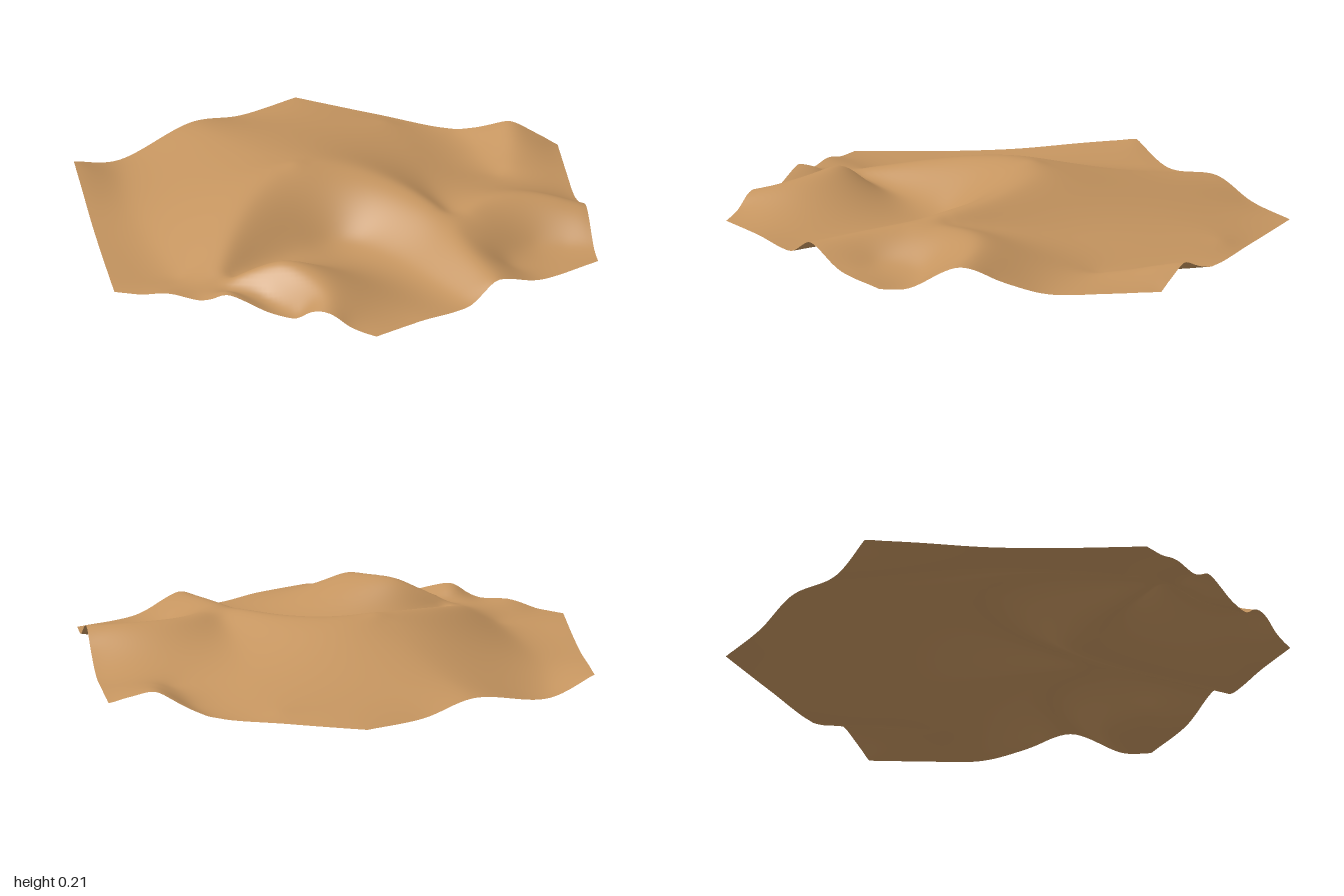
import * as THREE from 'three';

// Ridge, trough and rim lines of the dune field, as [x, height, z] points
const lines = {
  mainNorthCrest: [[-.15, .21, .07], [-.1, .2, -.04], [.05, .185, -.12], [.25, .165, -.17], [.45, .145, -.16], [.6, .125, -.1], [.866, .1, -.04]],
  mainSouthCrest: [[-.15, .21, .07], [-.12, .195, .2], [-.05, .168, .35], [.05, .13, .5], [.15, .095, .62], [.22, .075, .69]],
  mainToe: [[.866, .04, .07], [.6, .043, .06], [.35, .047, .06], [.2, .05, .09], [.15, .05, .16], [.16, .055, .3], [.19, .06, .48], [.22, .072, .63]],
  westRidge: [[-.866, .065, -.03], [-.6, .105, 0], [-.35, .16, .05], [-.15, .21, .07]],
  southTrough: [[-.866, .015, .3], [-.6, .03, .48], [-.35, .034, .6], [-.1, .035, .7], [.05, .037, .75]],
  northTrough: [[-.5, .03, -.62], [-.25, .045, -.54], [0, .075, -.4], [.2, .108, -.29], [.38, .137, -.21]],
  eastCrest: [[.24, .08, .68], [.3, .125, .6], [.38, .16, .54], [.52, .15, .52], [.65, .125, .55], [.7, .105, .596]],
  eastToe: [[.28, .068, .7], [.34, .073, .67], [.42, .066, .64], [.53, .06, .64], [.6, .065, .635]],
  southSpur: [[.24, .075, .69], [.31, .09, .74], [.37, .105, .786]],
  cornerCrest: [[.62, .115, -.642], [.5, .135, -.56], [.42, .145, -.45], [.4, .145, -.36], [.44, .142, -.26], [.55, .125, -.17]],
  cornerToe: [[.78, .04, -.55], [.68, .04, -.48], [.62, .045, -.4], [.63, .05, -.31], [.7, .05, -.23], [.866, .045, -.24]],
  smallCrest: [[-.16, .075, -.908], [-.1, .068, -.87], [0, .045, -.79], [.09, .027, -.71]],
  smallToe: [[-.33, .005, -.8], [-.2, .012, -.78], [-.08, .015, -.72], [.06, .018, -.68]],
  rimSouthWest: [[-.866, .07, .5], [-.7, .058, .596], [-.5, .04, .711], [-.3, .035, .827], [0, .04, 1]],
  rimSouthEast: [[0, .04, 1], [.1, .05, .942], [.17, .07, .902], [.3, .068, .827], [.37, .105, .786], [.55, .06, .682], [.7, .105, .596], [.79, .06, .544], [.866, .045, .5]],
  rimEast: [[.866, .045, .5], [.866, .045, .3], [.866, .04, .07], [.866, .1, -.04], [.866, .045, -.24], [.866, .04, -.5]],
  rimNorthEast: [[.866, .04, -.5], [.78, .04, -.55], [.62, .115, -.642], [.48, .055, -.723], [.35, .012, -.798], [.17, .01, -.902], [0, .015, -1]],
  rimNorthWest: [[0, .015, -1], [-.08, .05, -.954], [-.16, .075, -.908], [-.25, .035, -.856], [-.35, .005, -.798], [-.6, .01, -.654], [-.866, .02, -.5]],
  rimWest: [[-.866, .02, -.5], [-.866, .025, -.25], [-.866, .065, -.03], [-.866, .015, .3], [-.866, .07, .5]],
};

const kernel = (dx, dz) => Math.sqrt(dx * dx + dz * dz + 0.0006);

// Sample every line, skipping samples that fall on earlier ones
function samplePoints() {
  const points = [];
  for (const line of Object.values(lines)) {
    const curve = new THREE.CatmullRomCurve3(line.map((p) => new THREE.Vector3(...p)), false, 'centripetal');
    const count = Math.ceil(curve.getLength() / 0.055);
    for (const p of curve.getSpacedPoints(count)) {
      if (points.every((q) => Math.hypot(p.x - q.x, p.z - q.z) > 0.022)) points.push(p);
    }
  }
  return points;
}

// Smooth height function through all the samples (Gaussian elimination)
function makeHeight() {
  const points = samplePoints();
  const n = points.length;
  const rows = points.map((p) => [...points.map((q) => kernel(p.x - q.x, p.z - q.z)), p.y]);
  for (let c = 0; c < n; c++) {
    let best = c;
    for (let r = c + 1; r < n; r++) if (Math.abs(rows[r][c]) > Math.abs(rows[best][c])) best = r;
    [rows[c], rows[best]] = [rows[best], rows[c]];
    for (let r = c + 1; r < n; r++) {
      const f = rows[r][c] / rows[c][c];
      for (let k = c; k <= n; k++) rows[r][k] -= f * rows[c][k];
    }
  }
  const weights = new Array(n).fill(0);
  for (let r = n - 1; r >= 0; r--) {
    let sum = rows[r][n];
    for (let k = r + 1; k < n; k++) sum -= rows[r][k] * weights[k];
    weights[r] = sum / rows[r][r];
  }
  return (x, z) => points.reduce((sum, p, i) => sum + weights[i] * kernel(x - p.x, z - p.z), 0);
}

// Hexagonal sheet on a triangular grid, lifted by the height function
function duneGeometry(rings) {
  const height = makeHeight();
  const positions = [];
  const indices = [];
  const ids = new Map();
  const inside = (a, b) => Math.max(Math.abs(a), Math.abs(b), Math.abs(a + b)) <= rings;
  for (let a = -rings; a <= rings; a++) {
    for (let b = -rings; b <= rings; b++) {
      if (!inside(a, b)) continue;
      const x = (a * Math.sqrt(3)) / 2 / rings;
      const z = (b + a / 2) / rings;
      ids.set(`${a},${b}`, positions.length / 3);
      positions.push(x, height(x, z), z);
    }
  }
  const id = (a, b) => ids.get(`${a},${b}`);
  for (let a = -rings; a <= rings; a++) {
    for (let b = -rings; b <= rings; b++) {
      if (!inside(a, b + 1) || !inside(a + 1, b)) continue;
      if (inside(a, b)) indices.push(id(a, b), id(a, b + 1), id(a + 1, b));
      if (inside(a + 1, b + 1)) indices.push(id(a + 1, b), id(a, b + 1), id(a + 1, b + 1));
    }
  }
  const geometry = new THREE.BufferGeometry();
  geometry.setAttribute('position', new THREE.Float32BufferAttribute(positions, 3));
  geometry.setIndex(indices);
  geometry.computeVertexNormals();
  geometry.computeBoundingBox();
  geometry.translate(0, -geometry.boundingBox.min.y, 0);
  return geometry;
}

export function createModel() {
  const sand = new THREE.MeshStandardMaterial({ color: 0xc4945f, side: THREE.DoubleSide });
  sand.name = 'sand';
  const dunes = new THREE.Mesh(duneGeometry(56), sand);
  dunes.name = 'sandDunes';
  const model = new THREE.Group();
  model.name = 'duneTile';
  model.add(dunes);
  return model;
}
